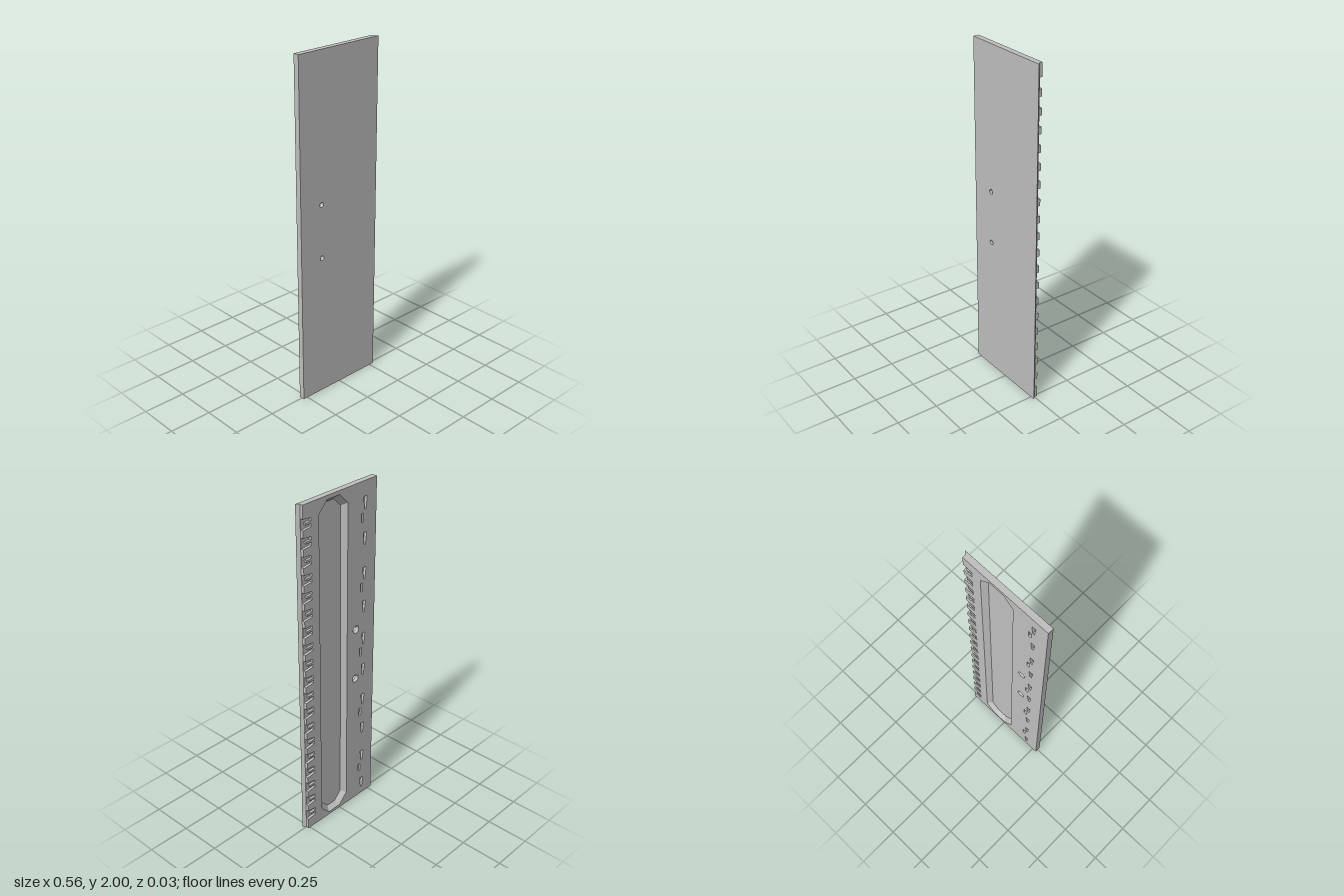
import * as THREE from 'three';

const BACK = -0.018, MID = 0, FRONT = 0.016;   // z levels of the panel
const SIDE = 0.278, EDGE = 0.262;              // half width, and rear corner of the bevelled edge
const SLOT_FLOOR = -0.003;

const grey = new THREE.MeshStandardMaterial({ color: 0xc0c0c0, side: THREE.DoubleSide });
grey.name = 'plainGrey';

const vec = ([x, y]) => new THREE.Vector2(x, y);

export function createModel() {
  const group = new THREE.Group();
  group.name = 'slottedPanel';

  const add = (name, geometry) => {
    const mesh = new THREE.Mesh(geometry, grey);
    mesh.name = name;
    group.add(mesh);
  };

  // Wall between two matching counter-clockwise outlines at two depths
  const wall = (name, a, za, b, zb) => {
    const pos = [];
    for (let i = 0; i < a.length; i++) {
      const j = (i + 1) % a.length;
      const a0 = [...a[i], za], a1 = [...a[j], za], b0 = [...b[i], zb], b1 = [...b[j], zb];
      pos.push(...a0, ...a1, ...b1, ...a0, ...b1, ...b0);
    }
    const g = new THREE.BufferGeometry();
    g.setAttribute('position', new THREE.Float32BufferAttribute(pos, 3));
    g.computeVertexNormals();
    add(name, g);
  };

  // Flat face at depth z, turned to the front or the rear
  const face = (name, outline, z, holes = [], rear = true) => {
    const shape = new THREE.Shape(outline.map(vec));
    holes.forEach((h) => shape.holes.push(new THREE.Path(h.map(vec))));
    const g = new THREE.ShapeGeometry(shape);
    if (rear) {
      g.index.array.reverse();
      const n = g.attributes.normal;
      for (let i = 0; i < n.count; i++) n.setZ(i, -1);
    }
    g.translate(0, 0, z);
    add(name, g);
  };

  const rect = (x0, x1, y0, y1) => [[x0, y0], [x1, y0], [x1, y1], [x0, y1]];
  const circle = (cx, cy, r, n = 20) => Array.from({ length: n }, (_, i) => {
    const t = (i / n) * Math.PI * 2;
    return [cx + r * Math.cos(t), cy + r * Math.sin(t)];
  });
  const octagon = (x0, x1, y0, y1, c) => [
    [x0 + c, y0], [x1 - c, y0], [x1, y0 + c], [x1, y1 - c],
    [x1 - c, y1], [x0 + c, y1], [x0, y1 - c], [x0, y0 + c],
  ];

  const rearHoles = [], frontHoles = [];
  const recess = (name, rim, floor, z) => {
    rearHoles.push(rim);
    wall(name + 'Wall', floor, z, rim, BACK);
    face(name + 'Floor', floor, z);
  };

  // Long octagonal pocket with sloping walls
  recess('pocket', octagon(-0.06, 0.15, 0.018, 1.978, 0.06),
    octagon(-0.035, 0.125, 0.043, 1.953, 0.05), 0.009);

  // Tapered keyholes
  for (let i = 0; i < 10; i++) {
    const y = 0.08 + i * 0.2, x = -0.192;
    const key = [[x - 0.005, y - 0.035], [x + 0.005, y - 0.035], [x + 0.012, y + 0.022],
      [x + 0.012, y + 0.035], [x - 0.012, y + 0.035], [x - 0.012, y + 0.022]];
    recess('keyhole', key, key, -0.002);
  }

  // Small rectangular sockets
  for (let i = 0; i < 5; i++) {
    const y = 0.2 + i * 0.4;
    const r = rect(-0.18, -0.162, y - 0.025, y + 0.025);
    recess('socket', r, r, -0.006);
  }

  // Countersunk through holes
  for (const y of [0.845, 1.16]) {
    const bore = circle(-0.13, y, 0.014), rim = circle(-0.13, y, 0.023);
    wall('screwHoleBore', bore, FRONT, bore, -0.003);
    wall('screwHoleCountersink', bore, -0.003, rim, BACK);
    frontHoles.push(bore);
    rearHoles.push(rim);
  }

  // Rear outline with a row of ribbed notches along one edge
  const outline = [[-SIDE, 0], [EDGE, 0]];
  const notch = [[EDGE, -0.03], [0.205, -0.024], [0.205, -0.006], [0.242, -0.006],
    [0.242, 0.006], [0.205, 0.006], [0.205, 0.024], [EDGE, 0.03]];
  for (let i = 0; i < 19; i++) {
    const pts = notch.map(([x, y]) => [x, y + 0.095 + i * 0.1]);
    outline.push(...pts);
    face('notchFloor', [...pts].reverse(), SLOT_FLOOR);
  }
  outline.push([EDGE, 2], [-SIDE, 2]);

  // Panel shell: notched rim, plain rim, bevelled rim, and both faces
  const rearRect = rect(-SIDE, EDGE, 0, 2), frontRect = rect(-SIDE, SIDE, 0, 2);
  wall('notchedRim', outline, BACK, outline, SLOT_FLOOR);
  wall('plainRim', rearRect, SLOT_FLOOR, rearRect, MID);
  wall('bevelledRim', rearRect, MID, frontRect, FRONT);
  face('rearFace', outline, BACK, rearHoles);
  face('frontFace', frontRect, FRONT, frontHoles, false);

  return group;
}
